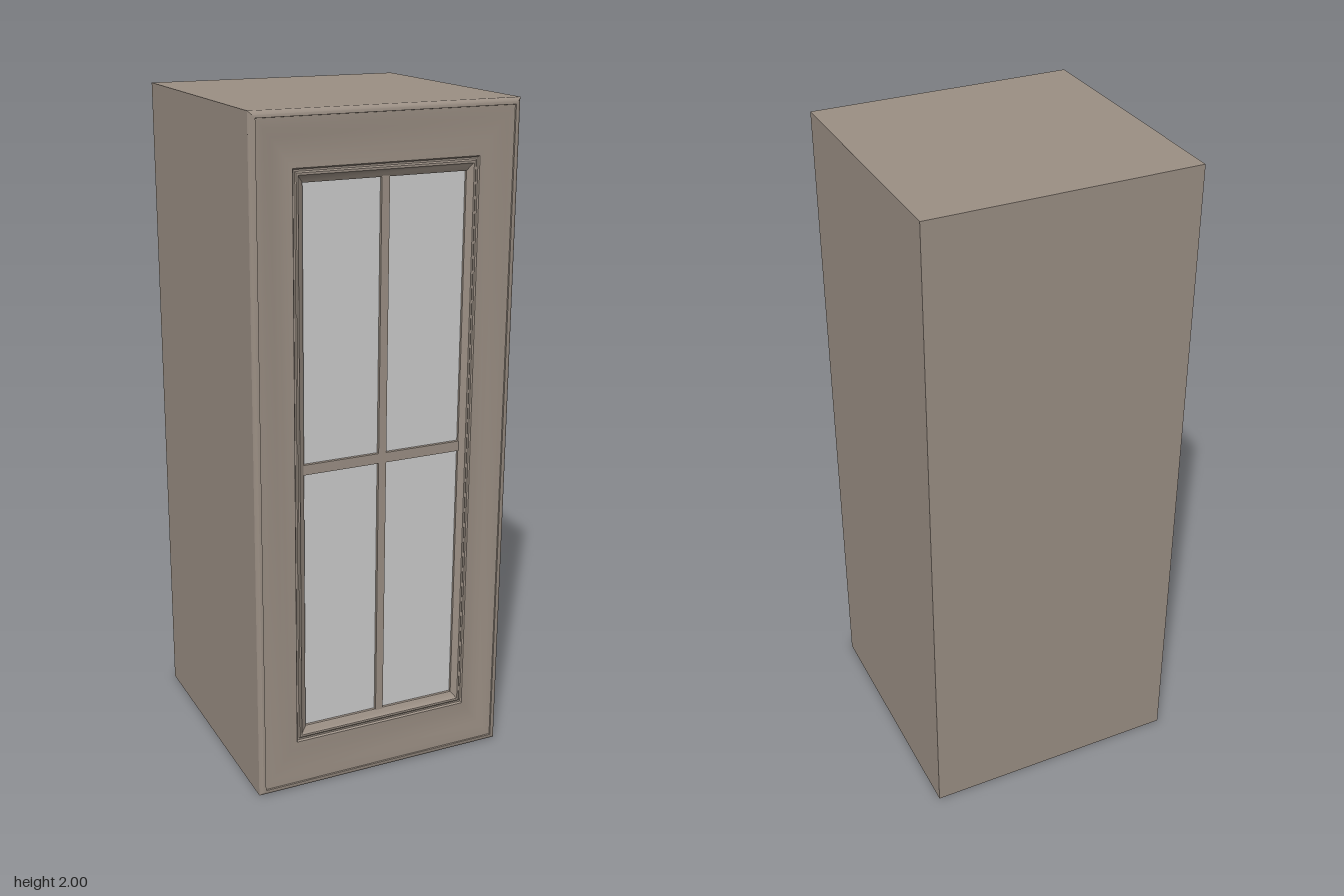
import * as THREE from 'three';
import { toCreasedNormals } from 'three/addons/utils/BufferGeometryUtils.js';

const W = 0.8, H = 2, D = 0.8, DOOR_BACK = 0.36, T = 0.03;

// Door moulding: [inset from sides, inset from top and bottom, z], outside to inside
const PROFILE = [
  [0, 0, DOOR_BACK], [0, 0, 0.389], [0.003, 0.003, 0.394], [0.01, 0.01, 0.399], [0.018, 0.018, 0.4],
  [0.019, 0.019, 0.396], [0.024, 0.026, 0.396],
  [0.04, 0.045, 0.395], [0.06, 0.07, 0.392], [0.08, 0.095, 0.39], [0.1, 0.125, 0.39], [0.122, 0.152, 0.392],
  [0.125, 0.156, 0.387], [0.13, 0.161, 0.387],
  [0.133, 0.165, 0.39], [0.138, 0.171, 0.39], [0.142, 0.176, 0.385],
  [0.153, 0.19, 0.38], [0.155, 0.193, 0.378], [0.155, 0.193, DOOR_BACK], [0, 0, DOOR_BACK],
];

// Sweeps the profile around the door with mitred corners
function mouldingGeometry() {
  const rings = PROFILE.map(([ix, iy, z]) => {
    const x = W / 2 - ix, y0 = iy, y1 = H - iy;
    return [[-x, y0, z], [x, y0, z], [x, y1, z], [-x, y1, z]];
  });
  const pos = [];
  for (let i = 0; i < rings.length - 1; i++) {
    for (let j = 0; j < 4; j++) {
      const k = (j + 1) % 4;
      const a = rings[i][j], b = rings[i][k], c = rings[i + 1][k], d = rings[i + 1][j];
      pos.push(...a, ...b, ...c, ...a, ...c, ...d);
    }
  }
  const geo = new THREE.BufferGeometry();
  geo.setAttribute('position', new THREE.Float32BufferAttribute(pos, 3));
  return toCreasedNormals(geo, 0.5);
}

export function createModel() {
  const group = new THREE.Group();
  const wood = new THREE.MeshStandardMaterial({ color: 0x9b8f84 });
  const grey = new THREE.MeshStandardMaterial({ color: 0xcccccc });

  const box = (name, w, h, d, x, y, z, material = wood) => {
    const mesh = new THREE.Mesh(new THREE.BoxGeometry(w, h, d), material);
    mesh.name = name;
    mesh.position.set(x, y, z);
    group.add(mesh);
  };

  // Carcass panels behind the door
  const depth = DOOR_BACK + D / 2, zMid = (DOOR_BACK - D / 2) / 2;
  for (const [name, s] of [['leftSide', 1], ['rightSide', -1]]) {
    box(name, T, H, depth, s * (W - T) / 2, H / 2, zMid);
  }
  box('topPanel', W - 2 * T, T, depth, 0, H - T / 2, zMid);
  box('bottomPanel', W - 2 * T, T, depth, 0, T / 2, zMid);
  box('backPanel', W - 2 * T, H - 2 * T, T, 0, H / 2, -D / 2 + T / 2);

  // Moulded door frame
  const frame = new THREE.Mesh(mouldingGeometry(), wood);
  frame.name = 'doorFrame';
  group.add(frame);

  // Glass pane and the glazing bars crossing it
  box('glassPane', 0.51, 1.64, 0.006, 0, 1, 0.367, grey);
  box('verticalGlazingBar', 0.024, 1.62, 0.014, -0.002, 1, 0.373);
  box('horizontalGlazingBar', 0.494, 0.03, 0.013, 0, 1.005, 0.373);

  return group;
}
